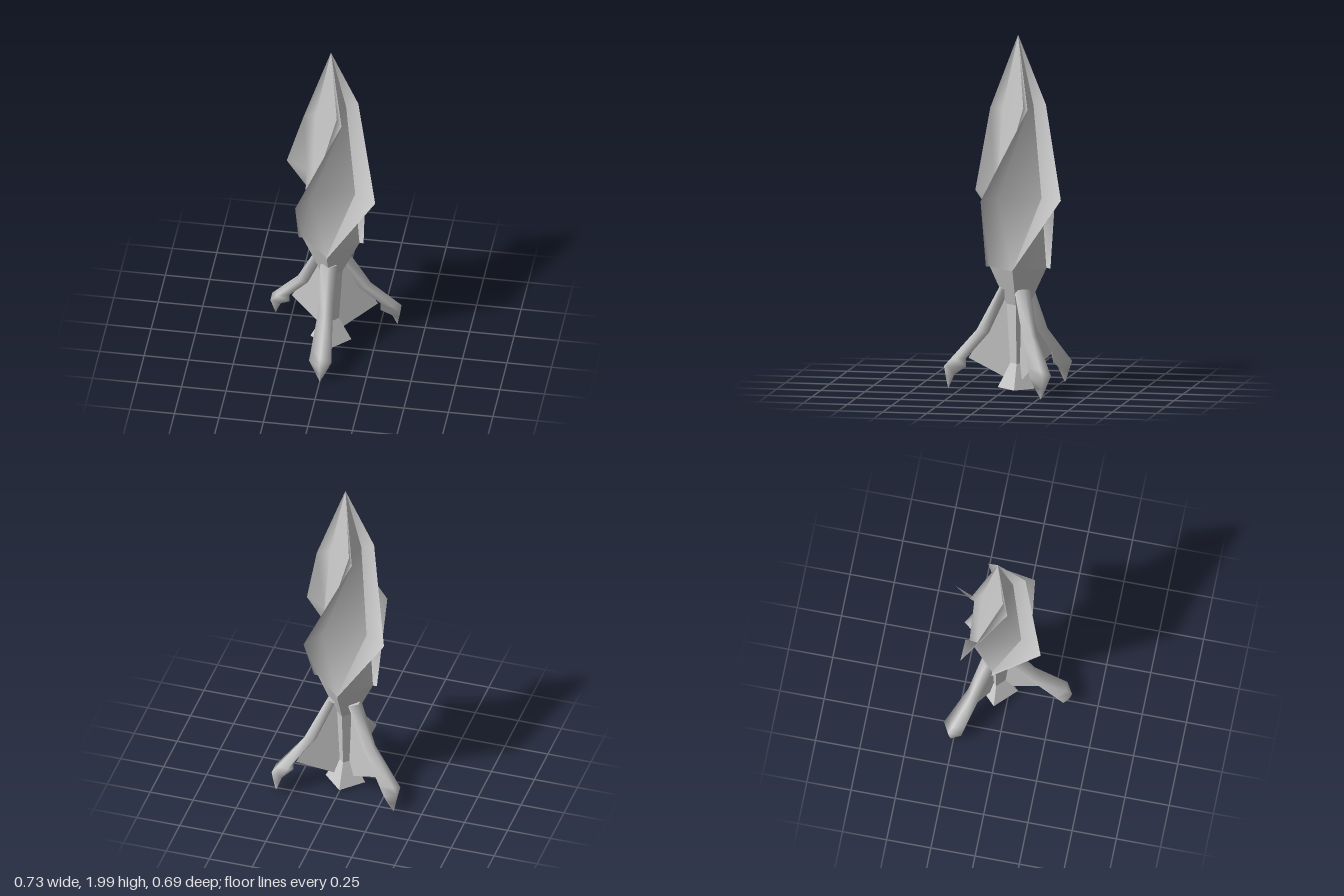
import * as THREE from 'three';

const mat = new THREE.MeshStandardMaterial({ color: 0xcccccc, side: THREE.DoubleSide });
const flatMat = new THREE.MeshStandardMaterial({ color: 0xcccccc, side: THREE.DoubleSide, flatShading: true });
const AXIS_Z = -0.067;

// point at a radius, height and angle (degrees, from +x towards +z)
const polar = (r, y, deg) => {
  const t = THREE.MathUtils.degToRad(deg);
  return [r * Math.cos(t), y, r * Math.sin(t)];
};

// skin a stack of rings, bottom to top
function loft(rings, closed, flat) {
  const n = rings[0].length;
  const index = [];
  for (let j = 0; j < rings.length - 1; j++) {
    for (let i = 0; i < (closed ? n : n - 1); i++) {
      const k = (i + 1) % n;
      const a = j * n + i, b = j * n + k, c = b + n, d = a + n;
      index.push(a, d, c, a, c, b);
    }
  }
  let geo = new THREE.BufferGeometry();
  geo.setAttribute('position', new THREE.Float32BufferAttribute(rings.flat(2), 3));
  geo.setIndex(index);
  if (flat) geo = geo.toNonIndexed();
  geo.computeVertexNormals();
  return geo;
}

function add(parent, name, geo, material, deg = 0) {
  const mesh = new THREE.Mesh(geo, material);
  mesh.name = name;
  mesh.rotation.y = -THREE.MathUtils.degToRad(deg);
  parent.add(mesh);
}

export function createModel() {
  const model = new THREE.Group();
  model.name = 'twistedRocket';
  const body = new THREE.Group();
  body.name = 'body';
  body.position.z = AXIS_Z;
  model.add(body);

  // square lower core: flared base, column and widening neck
  const coreLevels = [[0, 0.02], [0.115, 0.02], [0.045, 0.16], [0.065, 0.49], [0.16, 0.695]];
  const coreRings = coreLevels.map(([r, y]) => [0, 90, 180, 270].map((a) => polar(r, y, a)));
  add(body, 'core', loft(coreRings, true, true), flatMat);

  // four twisted petals: each covers one side of the square body,
  // then turns outwards at the next corner into a blade
  const petalLevels = [
    // body radius, blade radius, height, angle
    [0.16, 0.183, 0.695, 90], [0.173, 0.316, 1.1, 30], [0.09, 0.163, 1.6, -30], [0, 0, 2, -30],
  ];
  const petal = loft(petalLevels.map(([ri, ro, y, a]) =>
    [polar(ri, y, a), polar(ri, y, a + 90), polar(ro, y, a + 90)]), false, false);
  for (let i = 0; i < 4; i++) add(body, 'petal', petal, mat, i * 90);

  // leg rings: front r,y / side r,y,half width / back r,y
  const legLevels = [
    [0.397, 0.01, 0.395, 0.01, 0.002, 0.392, 0.012],
    [0.41, 0.07, 0.385, 0.075, 0.036, 0.36, 0.085],
    [0.42, 0.13, 0.382, 0.135, 0.063, 0.295, 0.13],
    [0.389, 0.165, 0.341, 0.18, 0.058, 0.295, 0.175],
    [0.235, 0.34, 0.2, 0.335, 0.042, 0.165, 0.325],
    [0.105, 0.585, 0.075, 0.58, 0.048, 0.05, 0.57],
  ];
  const legRings = legLevels.map(([fr, fy, sr, sy, w, br, by]) =>
    [[fr, fy, 0], [sr, sy, w], [br, by, 0], [sr, sy, -w]]);
  const top = legRings[legRings.length - 1];
  legRings.push(top, top.map(() => [0.077, 0.578, 0])); // end cap
  const leg = loft(legRings, true, false);

  // thin fin beneath each leg
  const finShape = new THREE.Shape([[0, 0.04], [0.28, 0.18], [0.2, 0.33], [0.07, 0.54], [0, 0.54]]
    .map(([x, y]) => new THREE.Vector2(x, y)));
  const fin = new THREE.ShapeGeometry(finShape);

  for (const deg of [90, 210, 330]) {
    add(body, 'leg', leg, mat, deg);
    add(body, 'fin', fin, mat, deg);
  }
  return model;
}
